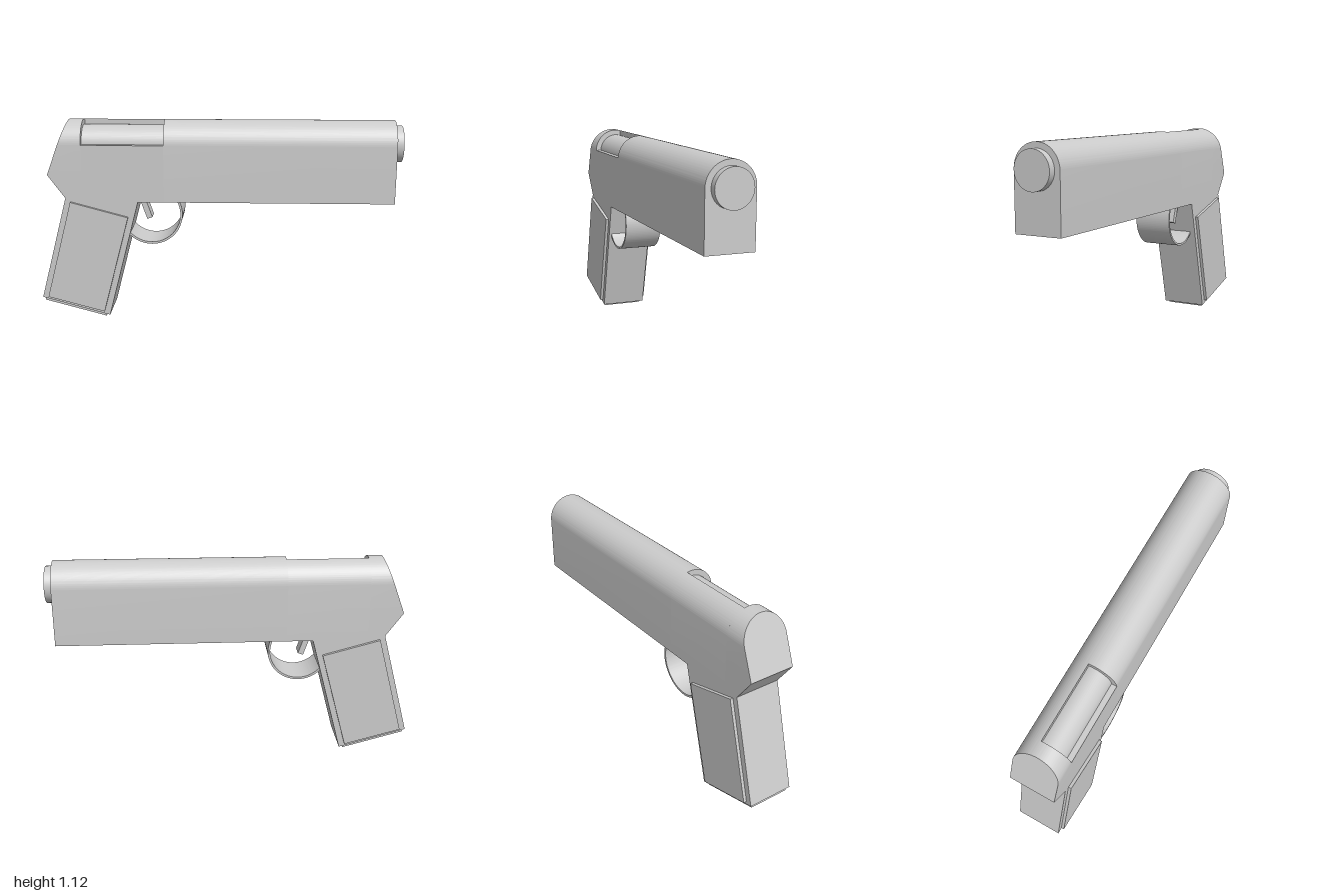
import * as THREE from 'three';
import { toCreasedNormals } from 'three/addons/utils/BufferGeometryUtils.js';

const material = new THREE.MeshStandardMaterial({ color: 0xcccccc });
const R = 0.13;        // half width of the body and radius of its rounded top
const AXIS_Y = 0.99;   // height of the barrel axis
const PORT = { back: -0.75, front: -0.3, floor: 0.995, side: 0.03 };

function add(group, name, geometry) {
  const mesh = new THREE.Mesh(geometry, material);
  mesh.name = name;
  group.add(mesh);
  return mesh;
}

// Side-profile polygon extruded across the width, from z0 to z1
function plate(points, z0, z1) {
  const shape = new THREE.Shape(points.map(([x, y]) => new THREE.Vector2(x, y)));
  return new THREE.ExtrudeGeometry(shape, { depth: z1 - z0, bevelEnabled: false }).translate(0, 0, z0);
}

// Round-topped cross-section; the arc runs from the right side up to endAngle
function section(bottom, endAngle = Math.PI) {
  const s = new THREE.Shape();
  s.moveTo(-R, bottom);
  s.lineTo(R, bottom);
  s.lineTo(R, AXIS_Y);
  s.absarc(0, AXIS_Y, R, 0, endAngle, false);
  return s;
}

// Cross-section extruded along x (shape x becomes -z)
function alongX(shape, x0, x1) {
  return new THREE.ExtrudeGeometry(shape, { depth: x1 - x0, bevelEnabled: false, curveSegments: 40 })
    .rotateY(Math.PI / 2).translate(x0, 0, 0);
}

export function createModel() {
  const model = new THREE.Group();
  model.name = 'pistol';

  // Slide: full front length
  add(model, 'slideFront', toCreasedNormals(alongX(section(0.68), PORT.front, 0.96), 0.5));

  // Slide: middle length with the open port on the +z side
  const cut = section(0.68, Math.acos(PORT.side / R));
  cut.lineTo(PORT.side, PORT.floor);
  cut.lineTo(-R, PORT.floor);
  add(model, 'slidePort', toCreasedNormals(alongX(cut, PORT.back, PORT.front), 0.5));

  // Slide: rear block, its back face sheared forward towards the top
  const rear = alongX(section(0.83), -0.94, PORT.back);
  const p = rear.attributes.position;
  for (let i = 0; i < p.count; i++) {
    if (p.getX(i) < -0.9) p.setX(i, -0.94 + (p.getY(i) - 0.83) * 0.11 / 0.29);
  }
  add(model, 'slideRear', toCreasedNormals(rear, 0.5));

  // Barrel, seen in the port and at the muzzle
  add(model, 'barrel', new THREE.CylinderGeometry(0.1, 0.1, 1.76, 64)
    .rotateZ(Math.PI / 2).translate(0.12, AXIS_Y, 0));

  // Frame heel and grip
  add(model, 'grip', plate([
    [-0.94, 0.83], [-0.845, 0.7], [-1, 0.12], [-0.62, 0.016],
    [-0.445, 0.68], [-0.75, 0.68], [-0.75, 0.83],
  ], -R, R));

  // Raised grip panels on both sides
  const panel = [[-0.965, 0.127], [-0.648, 0.042], [-0.5, 0.595], [-0.817, 0.68]];
  add(model, 'leftGripPanel', plate(panel, R - 0.01, 0.147));
  add(model, 'rightGripPanel', plate(panel, -0.147, 0.01 - R));

  // Magazine base under the grip
  add(model, 'magazineBase', plate([
    [-0.99, 0.098], [-0.643, 0.004], [-0.633, 0.04], [-0.98, 0.135],
  ], -0.115, 0.115));

  // Trigger guard: curved band from the slide round to the grip
  const band = new THREE.Shape();
  const a0 = 2.7 - 2 * Math.PI + Math.PI / 3, a1 = 0.43;
  band.absarc(0, 0, 0.172, a0, a1, false);
  band.absarc(0, 0, 0.16, a1, a0, true);
  const guard = new THREE.ExtrudeGeometry(band, { depth: 0.215, bevelEnabled: false, curveSegments: 48 })
    .translate(-0.372, 0.61, -0.099);
  add(model, 'triggerGuard', toCreasedNormals(guard, 0.5));

  // Trigger
  add(model, 'trigger', plate([
    [-0.45, 0.69], [-0.405, 0.562], [-0.376, 0.572], [-0.417, 0.69],
  ], -0.04, 0.04));

  return model;
}
